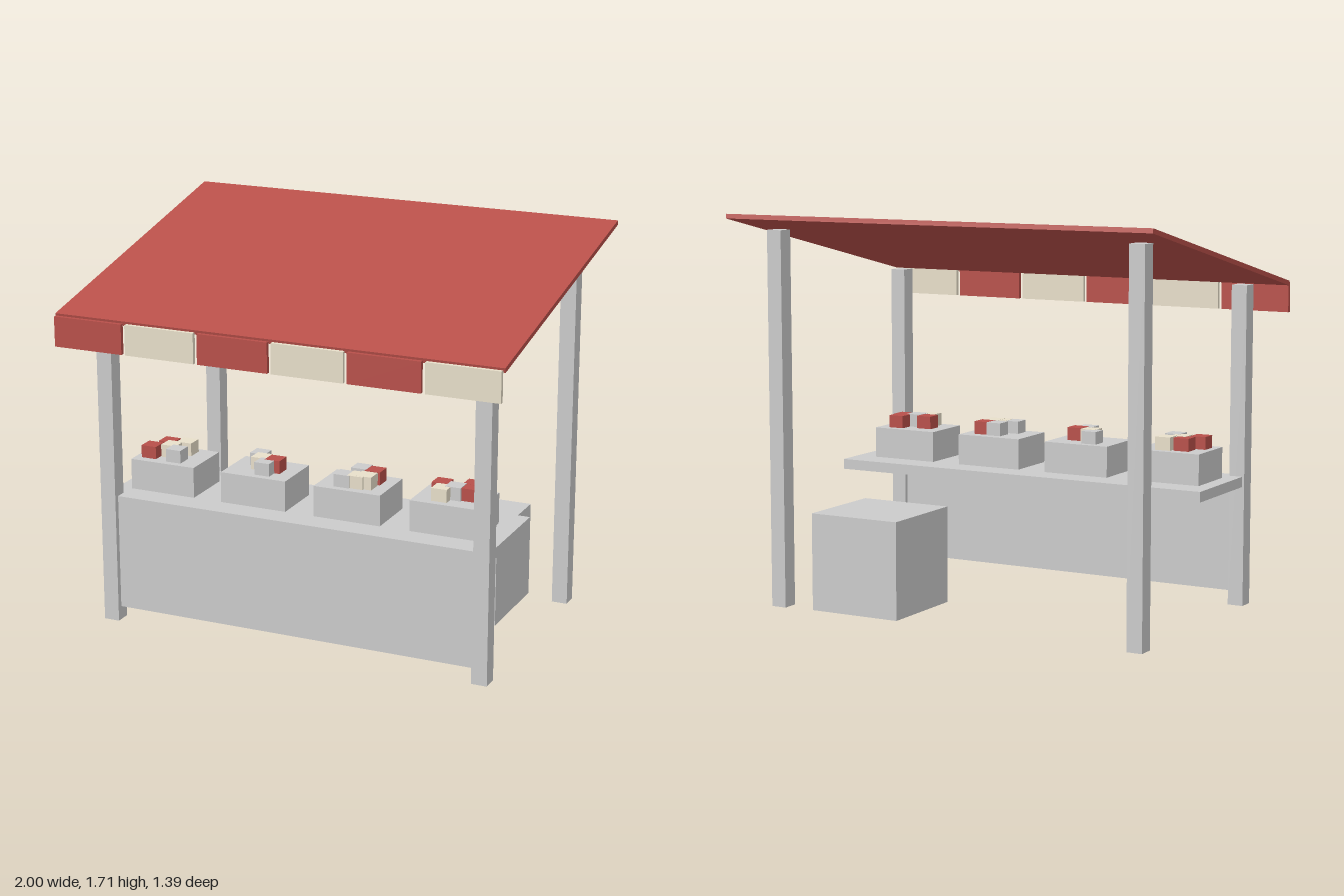
import * as THREE from 'three';

export function createModel() {
  const stall = new THREE.Group();
  stall.name = 'marketStall';

  const mat = (color) => new THREE.MeshStandardMaterial({ color });
  const grey = mat(0xcccccc), red = mat(0xb8504a), cream = mat(0xe8dfca);

  // Box from its size and the position of its bottom centre
  function box(name, [w, h, d], [x, y, z], material = grey, parent = stall) {
    const mesh = new THREE.Mesh(new THREE.BoxGeometry(w, h, d), material);
    mesh.name = name;
    mesh.position.set(x, y + h / 2, z);
    parent.add(mesh);
    return mesh;
  }

  // Four posts, the back pair taller
  for (const x of [-0.86, 0.86]) {
    box('frontPost', [0.07, 1.4, 0.072], [x, 0, 0.488]);
    box('backPost', [0.07, 1.637, 0.072], [x, 0, -0.506]);
  }

  // Sloping roof
  const roof = box('roof', [2, 0.02, 1.393], [0, 1.539, -0.01], red);
  roof.rotation.x = Math.atan2(0.302, 1.36);

  // Valance of alternating cloth panels
  for (let i = 0; i < 6; i++) {
    box('valancePanel', [0.317, 0.13, 0.018], [(i - 2.5) * 0.334, 1.27, 0.686], i % 2 ? cream : red);
  }

  // Counter with its front panel
  box('counterTop', [1.77, 0.045, 0.48], [0, 0.525, 0.26]);
  box('counterFront', [1.67, 0.465, 0.03], [0, 0.06, 0.485]);

  // Storage crate at the back
  box('storageCrate', [0.425, 0.425, 0.425], [0.482, 0, -0.312]);

  // Display boxes, each holding a cluster of small goods: [x, z, material]
  const displays = [
    [-0.668, [[-0.755, 0.31, red], [-0.715, 0.225, red], [-0.68, 0.27, cream], [-0.63, 0.32, grey], [-0.635, 0.21, cream]]],
    [-0.233, [[-0.28, 0.21, grey], [-0.25, 0.26, cream], [-0.205, 0.32, grey], [-0.18, 0.27, red]]],
    [0.203, [[0.165, 0.32, grey], [0.225, 0.315, cream], [0.26, 0.305, cream], [0.268, 0.23, red], [0.2, 0.22, grey]]],
    [0.64, [[0.715, 0.27, red], [0.705, 0.215, red], [0.605, 0.32, cream], [0.58, 0.25, red], [0.65, 0.28, grey]]],
  ];
  for (const [x, goods] of displays) {
    const display = new THREE.Group();
    display.name = 'display';
    stall.add(display);
    box('displayBox', [0.304, 0.135, 0.24], [x, 0.57, 0.265], grey, display);
    goods.forEach(([gx, gz, material], i) => {
      // Tiny height steps keep overlapping tops apart
      box('goodsItem', [0.07, 0.055 + i * 0.0006, 0.07], [gx, 0.705, gz], material, display);
    });
  }

  return stall;
}
